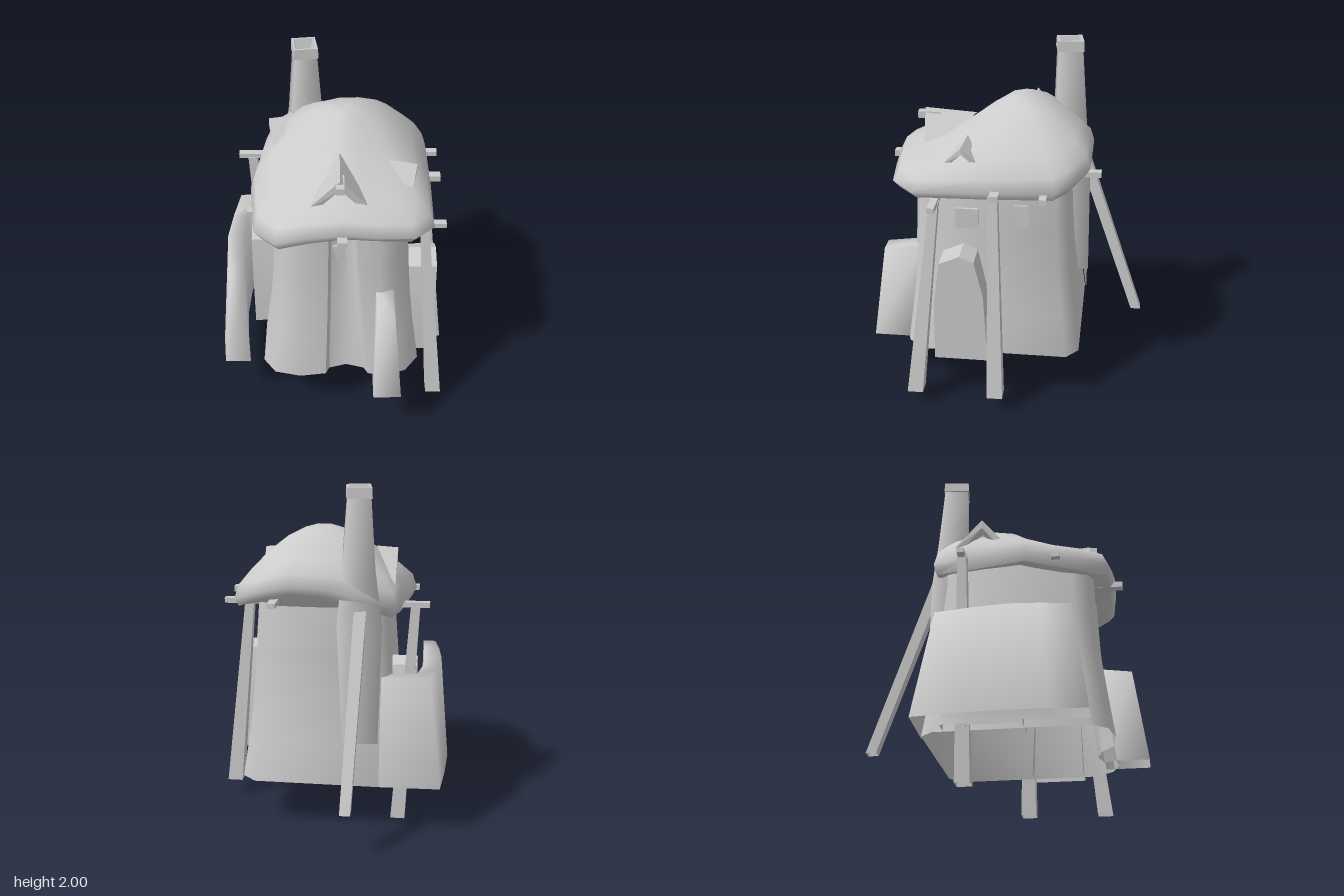
import * as THREE from 'three';
import { mergeVertices, toCreasedNormals } from 'three/addons/utils/BufferGeometryUtils.js';

const material = new THREE.MeshStandardMaterial({ color: 0xcccccc, side: THREE.DoubleSide });

// Skin a series of rings of [x, y, z]; caps are fans around the ring centre.
function loft(rings, { start = true, end = true, closed = true, crease = 0.5 } = {}) {
  const pos = [], n = rings[0].length;
  const tri = (...p) => p.forEach((v) => pos.push(...v));
  for (let j = 0; j < rings.length - 1; j++) {
    for (let i = 0; i < (closed ? n : n - 1); i++) {
      const k = (i + 1) % n, a = rings[j], b = rings[j + 1];
      tri(a[i], b[i], a[k]);
      tri(a[k], b[i], b[k]);
    }
  }
  const cap = (ring, flip) => {
    const c = [0, 1, 2].map((d) => ring.reduce((s, p) => s + p[d], 0) / n);
    ring.forEach((p, i) => {
      const q = ring[(i + 1) % n];
      flip ? tri(c, p, q) : tri(c, q, p);
    });
  };
  if (start) cap(rings[0], true);
  if (end) cap(rings[rings.length - 1], false);
  const geo = new THREE.BufferGeometry();
  geo.setAttribute('position', new THREE.Float32BufferAttribute(pos, 3));
  return toCreasedNormals(mergeVertices(geo), crease);
}

// Horizontal rectangle, optionally turned about y.
function rect(x, y, z, hx, hz, turn = 0) {
  const c = Math.cos(turn), s = Math.sin(turn);
  return [[-1, -1], [1, -1], [1, 1], [-1, 1]].map(([u, v]) =>
    [x + u * hx * c - v * hz * s, y, z + u * hx * s + v * hz * c]);
}

const lerp = THREE.MathUtils.lerp;

export function createModel() {
  const group = new THREE.Group();
  const add = (name, geo) => {
    const mesh = new THREE.Mesh(geo, material);
    mesh.name = name;
    group.add(mesh);
    return mesh;
  };

  // Flared walls, open underneath, with a front groove: [x, z, hem drop, narrowing toward the top]
  const plan = [[-0.36, -0.43], [0.42, -0.43], [0.5, -0.36], [0.5, 0.46], [0.42, 0.57], [0.3, 0.61],
    [0.2, 0.595, 0, 0.05], [0.175, 0.53, 0.02, 0.05], [0.07, 0.5, 0.02], [-0.03, 0.53, 0.02], [-0.05, 0.595],
    [-0.2, 0.615], [-0.35, 0.58], [-0.42, 0.48], [-0.42, -0.36]];
  const levels = [[0.295, 1, 1], [0.55, 0.92, 0.935], [0.8, 0.86, 0.875], [1.05, 0.82, 0.845], [1.4, 0.78, 0.82]];
  add('walls', loft(levels.map(([y, sx, sz], j) => plan.map(([x, z, drop = 0, narrow = 0]) =>
    [0.04 + (x - 0.04) * sx - narrow * j / 4, j ? y : y - drop, 0.09 + (z - 0.09) * sz])),
  { start: false, end: false, crease: 0.9 }));

  // Sagging roof: rim points are [x, z, upper lip height, lower lip height]
  const rim = [[-0.14, -0.43, 1.47, 1.35], [0, -0.465, 1.5, 1.41], [0.2, -0.465, 1.51, 1.42], [0.37, -0.46, 1.47, 1.39],
    [0.5, -0.36, 1.42, 1.33], [0.545, -0.28, 1.39, 1.3], [0.55, 0.1, 1.37, 1.29], [0.54, 0.5, 1.36, 1.28],
    [0.43, 0.62, 1.38, 1.29], [0.24, 0.64, 1.4, 1.31], [0.05, 0.65, 1.43, 1.33], [-0.15, 0.635, 1.4, 1.29],
    [-0.32, 0.62, 1.36, 1.24], [-0.44, 0.48, 1.34, 1.22], [-0.47, 0.16, 1.39, 1.29], [-0.42, -0.2, 1.4, 1.28],
    [-0.38, -0.39, 1.4, 1.29]];
  const peak = { x: 0.06, y: 1.745, z: -0.04 };
  const at = (p, r, y) => [lerp(peak.x, p[0], r), y, lerp(peak.z, p[1], r)];
  // [radius, rise toward the front, rise toward the sides and back]
  const slope = [[0.95, 0.05, 0.1], [0.8, 0.15, 0.35], [0.6, 0.28, 0.63], [0.4, 0.48, 0.84], [0.2, 0.8, 0.97], [0.07, 0.97, 1]];
  add('roof', loft([
    rim.map((p) => at(p, 0.74, Math.min(p[3] + 0.05, 1.33))),
    rim.map((p) => at(p, 0.95, p[3])),
    rim.map((p) => at(p, 1, lerp(p[3], p[2], 0.5))),
    ...slope.map(([r, front, back]) => rim.map((p) => {
      const w = THREE.MathUtils.clamp(p[1] / 0.6, 0, 1);
      return at(p, r, lerp(p[2], peak.y, lerp(back, front, w)));
    })),
  ], { start: false, crease: 1.3 }));

  // Gabled dormers with a recessed opening, running back to a point
  function dormer(name, x, y, z, width, height, depth, drop, turn) {
    const A = [0, height, 0], L = [-width, 0, -0.02], R = [width, 0, -0.02], B = [0, height - drop, -depth];
    const inset = (p, dz) => [p[0] * 0.6, height * 0.1 + p[1] * 0.62, p[2] + dz];
    const rings = [[L, A, R].map((p) => inset(p, -0.08)), [L, A, R].map((p) => inset(p, 0)), [L, A, R], [B, B, B]];
    const mesh = add(name, loft(rings, { end: false, crease: 0.2 }));
    mesh.position.set(x, y, z);
    mesh.rotation.y = turn;
  }
  dormer('frontDormer', 0.03, 1.425, 0.505, 0.18, 0.2, 0.3, 0.02, 0);
  dormer('leftDormer', 0.455, 1.425, 0.235, 0.13, 0.125, 0.16, -0.02, Math.PI / 2 - 0.1);
  dormer('rightDormer', -0.37, 1.44, -0.11, 0.17, 0.19, 0.12, -0.01, -Math.PI / 2 + 0.1);

  // Crooked chimney with a hollow cap
  const stack = ([y, x, z, hx, hz]) => rect(x, y, z, hx, hz, -0.14);
  add('chimney', loft([[0.56, -0.18, -0.36, 0.1, 0.08], [1.25, -0.17, -0.335, 0.125, 0.095],
    [1.55, -0.165, -0.315, 0.09, 0.088], [1.94, -0.165, -0.305, 0.064, 0.07]].map(stack),
  { start: false, end: false, crease: 1.7 }));
  add('chimneyCap', loft([[1.94, -0.165, -0.305, 0.064, 0.07], [1.94, -0.165, -0.305, 0.07, 0.076],
    [2, -0.165, -0.305, 0.067, 0.073], [2, -0.165, -0.305, 0.055, 0.061], [1.93, -0.165, -0.305, 0.035, 0.042]].map(stack),
  { start: false }));

  // Leaning posts: bottom point, top point, bottom and top half width
  const posts = [
    ['frontLeftPost', [0.6, 0.085, 0.505], [0.5, 1.25, 0.38], 0.045, 0.024],
    ['midLeftPost', [0.635, 0.1, 0.035], [0.515, 1.33, 0.055], 0.045, 0.026],
    ['rightPost', [-0.4, 0.005, -0.185], [-0.48, 1.32, -0.2], 0.042, 0.026],
    ['backBrace', [-0.145, 0.28, -0.76], [-0.185, 1.33, -0.39], 0.03, 0.034],
  ];
  posts.forEach(([name, b, t, hb, ht]) => add(name, loft([rect(...b, hb, hb), rect(...t, ht, ht)], { start: false })));

  // Beam ends sticking out below the eaves
  const beams = [
    ['frontBeam', 0.04, 1.345, 0.6, 0.05, 0.035, 0.18], ['dormerBeam', 0.03, 1.585, 0.48, 0.045, 0.04, 0.13],
    ['backBeam', 0.29, 1.37, -0.42, 0.045, 0.03, 0.2], ['frontLeftBeam', 0.51, 1.25, 0.38, 0.22, 0.03, 0.04],
    ['midLeftBeam', 0.51, 1.33, 0.04, 0.2, 0.035, 0.05], ['backLeftBeam', 0.5, 1.325, -0.22, 0.22, 0.03, 0.04],
    ['rightBeam', -0.46, 1.325, -0.2, 0.2, 0.03, 0.04], ['frontRightBeam', -0.41, 1.3, 0.33, 0.14, 0.03, 0.05],
  ];
  beams.forEach(([name, x, y, z, w, h, d]) => add(name, new THREE.BoxGeometry(w, h, d).translate(x, y, z)));

  // Arched doorways on both sides, open underneath
  const arch = [[0.155, 0.3], [0.15, 0.65], [0.115, 0.915], [0, 0.965], [-0.08, 0.93], [-0.13, 0.72], [-0.15, 0.3]];
  const doorway = (name, x0, x1, zc) =>
    add(name, loft([x0, x1].map((x) => arch.map(([z, y]) => [x, y, z + zc])),
      { start: x0 < 0, end: x0 > 0, closed: false, crease: 0.6 }));
  doorway('leftDoorway', 0.4, 0.592, 0.235);
  doorway('rightDoorway', -0.49, -0.32, -0.015);

  // Leaning buttress at the front
  add('frontButtress', loft([
    rect(0.305, 0.3, 0.66, 0.08, 0.13),
    [[0.235, 0.89, 0.5], [0.335, 0.89, 0.5], [0.335, 0.86, 0.715], [0.235, 0.86, 0.715]],
  ], { start: false, crease: 1.7 }));

  // Yard wall, as sections [outer bottom, outer top, inner top, inner bottom] in x, z
  const sections = [
    [[-0.3, -0.44], [-0.3, -0.35], [-0.3, -0.28], [-0.3, -0.3]],
    [[-0.65, -0.43], [-0.58, -0.33], [-0.5, -0.25], [-0.51, -0.3]],
    [[-0.673, -0.18], [-0.61, -0.13], [-0.525, -0.1], [-0.53, -0.11]],
    [[-0.685, 0.08], [-0.63, 0.08], [-0.53, 0.08], [-0.54, 0.08]],
    [[-0.673, 0.3], [-0.612, 0.26], [-0.52, 0.26], [-0.525, 0.3]],
    [[-0.65, 0.5], [-0.585, 0.42], [-0.51, 0.42], [-0.5, 0.5]],
  ];
  add('yardWall', loft(sections.map((s) => s.map(([x, z], i) => [x, i === 1 || i === 2 ? 0.93 : 0.3, z])),
    { start: false, closed: false, crease: 1.7 }));

  // Small windows
  add('leftFrontWindow', new THREE.BoxGeometry(0.04, 0.12, 0.13).translate(0.405, 1.12, 0.215));
  add('leftBackWindow', new THREE.BoxGeometry(0.03, 0.14, 0.08).translate(0.405, 1.14, -0.09));
  add('frontWindow', loft([[1.04, 0.004], [1.16, 0.035]].map(([y, h]) => rect(0.025, y, 0.45, h, 0.015))));

  return group;
}
